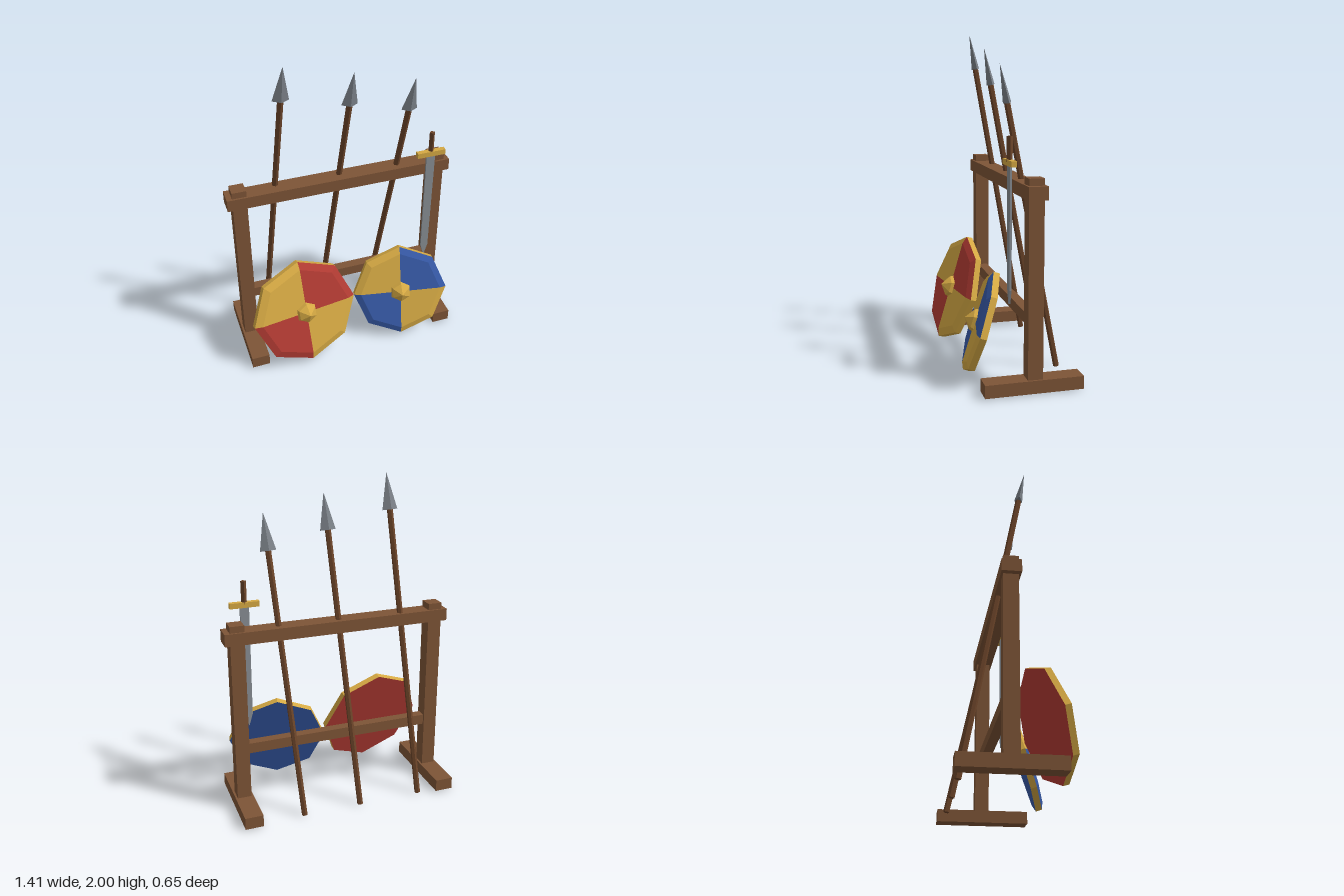
import * as THREE from 'three';

const mat = (color, extra = {}) => new THREE.MeshStandardMaterial({ color, flatShading: true, ...extra });
const wood = mat(0x7d5436), shaftWood = mat(0x6b4429), steel = mat(0x7b8188),
  bladeSteel = mat(0x878d93), gold = mat(0xd4a843), red = mat(0xb23b33), blue = mat(0x3659a6);

function add(parent, name, geometry, material, x = 0, y = 0, z = 0) {
  const mesh = new THREE.Mesh(geometry, material);
  mesh.name = name;
  mesh.position.set(x, y, z);
  parent.add(mesh);
  return mesh;
}

const box = (w, h, d) => new THREE.BoxGeometry(w, h, d);

// Faceted disc section facing +z; angle 0 points down and runs toward +x
function sector(points, segments, start = 0, length = Math.PI * 2) {
  const profile = points.map(([r, h]) => new THREE.Vector2(r, h));
  return new THREE.LatheGeometry(profile, segments, start, length).rotateX(Math.PI / 2);
}

function makeFrame() {
  const frame = new THREE.Group();
  frame.name = 'rackFrame';
  for (const side of [-1, 1]) {
    const x = side * 0.63;
    add(frame, 'post', box(0.087, 1.165, 0.087), wood, x, 0.6225, -0.046);
    add(frame, 'foot', box(0.112, 0.075, 0.568), wood, x, 0.0475, -0.041);
  }
  add(frame, 'topBeam', box(1.413, 0.075, 0.112), wood, 0, 1.128, -0.046);
  add(frame, 'lowerRail', box(1.26, 0.065, 0.06), wood, 0, 0.408, -0.046);
  return frame;
}

// Leaning spear with a flattened four-sided head
function makeSpear(bottom, tip) {
  const spear = new THREE.Group();
  spear.name = 'spear';
  const dir = tip.clone().sub(bottom);
  const length = dir.length(), headLength = 0.22;
  const shaftLength = length - headLength + 0.01;
  add(spear, 'spearShaft', new THREE.CylinderGeometry(0.018, 0.018, shaftLength, 6), shaftWood, 0, shaftLength / 2, 0);
  add(spear, 'spearHead', new THREE.ConeGeometry(0.049, headLength, 4), steel, 0, length - headLength / 2, 0)
    .scale.z = 0.5;
  spear.position.copy(bottom);
  spear.quaternion.setFromUnitVectors(new THREE.Vector3(0, 1, 0), dir.normalize());
  return spear;
}

// Octagonal quartered shield with gold rim and faceted boss
function makeShield(name, radius, color, yaw, pitch) {
  const shield = new THREE.Group();
  shield.name = name;
  const t = 0.038, crown = t + 0.018;
  add(shield, 'shieldBack', sector([[0, 0], [radius, 0]], 8), color);
  add(shield, 'shieldRim', sector([[radius, 0], [radius, t]], 8), gold);
  for (let i = 0; i < 4; i++) {
    const face = sector([[radius, t], [radius * 0.86, crown], [0, crown]], 2, i * Math.PI / 2, Math.PI / 2);
    add(shield, 'shieldQuarter', face, i % 2 ? color : gold);
  }
  add(shield, 'shieldBoss', sector([[0.072, 0], [0.062, 0.025], [0, 0.07]], 6), gold, 0, 0, crown - 0.005);
  shield.rotation.set(pitch, yaw, 0, 'YXZ');
  return shield;
}

// Sword hanging point down
function makeSword() {
  const sword = new THREE.Group();
  sword.name = 'sword';
  const outline = new THREE.Shape([[-0.028, 1.27], [-0.024, 0.57], [0, 0.49], [0.024, 0.57], [0.028, 1.27]]
    .map(([x, y]) => new THREE.Vector2(x, y)));
  const blade = new THREE.ExtrudeGeometry(outline, { depth: 0.012, bevelEnabled: false });
  add(sword, 'swordBlade', blade, bladeSteel, 0, 0, -0.006);
  add(sword, 'swordGuard', box(0.18, 0.033, 0.032), gold, 0, 1.279, 0);
  add(sword, 'swordGrip', new THREE.CylinderGeometry(0.017, 0.017, 0.14, 4), shaftWood, 0, 1.353, 0);
  sword.position.set(0.545, 0, 0.07);
  return sword;
}

export function createModel() {
  const model = new THREE.Group();
  model.name = 'weaponRack';
  model.add(makeFrame());

  // Spears: bottom x, tip x, tip height
  for (const [x0, x1, top] of [[-0.458, -0.357, 2], [-0.06, 0.04, 1.905], [0.306, 0.408, 1.81]]) {
    model.add(makeSpear(new THREE.Vector3(x0, 0.008, -0.29), new THREE.Vector3(x1, top, 0.09)));
  }

  const redShield = makeShield('redShield', 0.342, red, 0.135, -0.3);
  redShield.position.set(-0.322, 0.357, 0.183);
  const blueShield = makeShield('blueShield', 0.306, blue, -0.19, -0.3);
  blueShield.position.set(0.342, 0.325, 0.164);
  model.add(redShield, blueShield, makeSword());
  return model;
}
